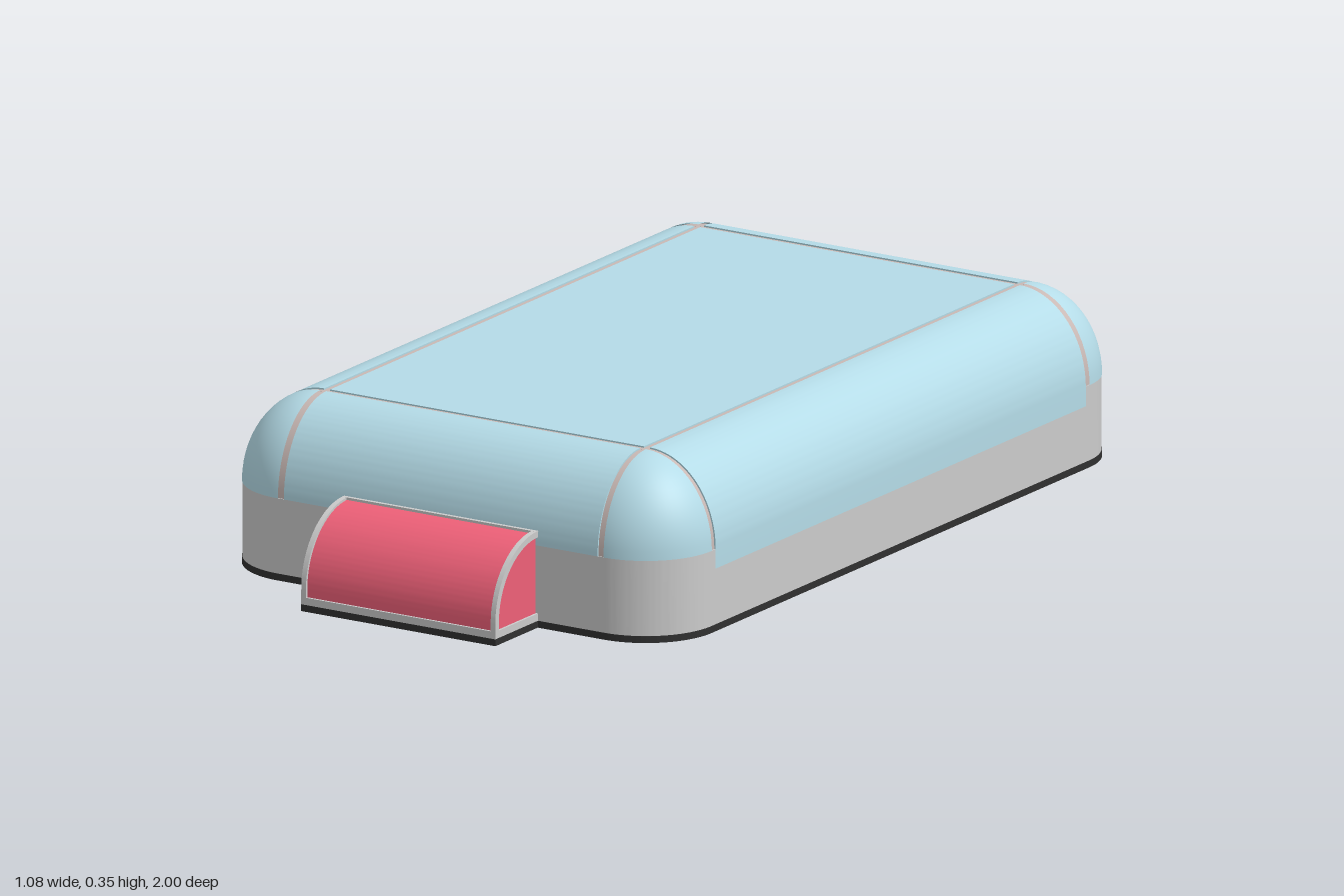
import * as THREE from 'three';
import { toCreasedNormals } from 'three/addons/utils/BufferGeometryUtils.js';

const W = 0.5375, L = 0.845, TOP = 0.355;    // half width, half length, height
const RH = 0.155, SEAM = 0.17, RV = TOP - SEAM; // rounding across and up
const CX = W - RH, CZ = L - RH;              // corner centres
const GAP = 0.014, Q = Math.PI / 2;

const mat = (color, side = THREE.FrontSide) => new THREE.MeshStandardMaterial({ color, side });
const grey = mat(0xcccccc), seamGrey = mat(0xc8b8b4), dark = mat(0x303030), line = mat(0x505050);
const blue = mat(0xb4dbe7, THREE.DoubleSide), red = mat(0xee6078), cyan = mat(0x10cae8);

function add(parent, name, geometry, material, x = 0, y = 0, z = 0, ry = 0) {
  const mesh = new THREE.Mesh(geometry, material);
  mesh.name = name;
  mesh.position.set(x, y, z);
  mesh.rotation.y = ry;
  parent.add(mesh);
  return mesh;
}

// Extrude centred on z, with smooth arcs and sharp edges
function extrude(shape, depth) {
  const g = new THREE.ExtrudeGeometry(shape, { depth, bevelEnabled: false, curveSegments: 20 });
  return toCreasedNormals(g.translate(0, 0, -depth / 2), 0.6);
}

// Upright slab with a rounded rectangle outline, base at y = 0
function slab(w, l, r, h) {
  const s = new THREE.Shape();
  s.absarc(w - r, l - r, r, 0, Q);
  s.absarc(r - w, l - r, r, Q, 2 * Q);
  s.absarc(r - w, r - l, r, 2 * Q, 3 * Q);
  s.absarc(w - r, r - l, r, 3 * Q, 4 * Q);
  return extrude(s, h).rotateX(-Q).translate(0, h / 2, 0);
}

// Curved edge panel: thin wall rising from bottom, then rolling over to the top
function edgePanel(bottom, length) {
  const t = 0.008, s = new THREE.Shape();
  s.moveTo(RH, bottom);
  s.lineTo(RH, SEAM);
  s.absellipse(0, SEAM, RH, RV, 0, Q, false);
  s.lineTo(0, TOP - t);
  s.absellipse(0, SEAM, RH - t, RV - t, Q, 0, true);
  s.lineTo(RH - t, bottom);
  return extrude(s, length);
}

// Quarter-round end profile, optionally hollowed to a rim
function quarterRound(r, inner, width) {
  const y0 = 0.03, yc = 0.045, s = new THREE.Shape();
  s.moveTo(inner, y0);
  s.lineTo(r, y0);
  s.lineTo(r, yc);
  s.absarc(0, yc, r, 0, Q, false);
  if (inner) {
    s.lineTo(0, yc + inner);
    s.absarc(0, yc, inner, Q, 0, true);
  } else s.lineTo(0, y0);
  return extrude(s, width);
}

function createLamp(name, color, turn) {
  const g = new THREE.Group();
  g.name = name;
  g.rotation.y = turn;
  add(g, 'lampLens', quarterRound(0.15, 0, 0.436), color, 0, 0, L, -Q);
  add(g, 'lampSideLens', quarterRound(0.143, 0, 0.446), color, 0, 0, L, -Q);
  for (const s of [-1, 1])
    add(g, 'lampRim', quarterRound(0.155, 0.142, 0.011), grey, s * 0.2225, 0, L, -Q);
  add(g, 'lampTopRim', new THREE.BoxGeometry(0.456, 0.006, 0.008), grey, 0, 0.197, L + 0.002);
  add(g, 'lampSill', new THREE.BoxGeometry(0.456, 0.015, 0.16), grey, 0, 0.0225, 0.92);
  add(g, 'basePlateTab', new THREE.BoxGeometry(0.456, 0.014, 0.16), dark, 0, 0.008, 0.92);
  return g;
}

export function createModel() {
  const model = new THREE.Group();
  model.name = 'roundedCase';

  // Base plate with a fine centre line and dot underneath
  add(model, 'basePlate', slab(W, L, RH, 0.014), dark, 0, 0.001, 0);
  add(model, 'undersideLine', new THREE.BoxGeometry(2 * W - 0.01, 0.001, 0.007), line, 0, 0.0006, 0);
  add(model, 'undersideDot', new THREE.CylinderGeometry(0.016, 0.016, 0.001, 20), line, 0, 0.0005, 0);

  // Lower wall
  add(model, 'lowerWall', slab(W - 0.001, L - 0.001, RH - 0.001, SEAM - 0.015), grey, 0, 0.015, 0);

  // Core below the panels: a half sphere pulled apart into a rounded box
  const n = 64, core = new THREE.SphereGeometry(1, n, 16, Math.PI / n, Math.PI * 2, 0.002, Q - 0.002);
  core.scale(RH - 0.003, RV - 0.003, RH - 0.003);
  const p = core.attributes.position;
  for (let i = 0; i < p.count; i++) {
    p.setX(i, p.getX(i) + Math.sign(p.getX(i)) * CX);
    p.setZ(i, p.getZ(i) + Math.sign(p.getZ(i)) * CZ);
  }
  core.computeVertexNormals();
  add(model, 'seamCore', core, seamGrey, 0, SEAM, 0);
  add(model, 'seamCoreTop', new THREE.BoxGeometry(2 * CX, 0.02, 2 * CZ), seamGrey, 0, TOP - 0.013, 0);

  // Top and edge panels
  const tx = 2 * (CX - GAP), tz = 2 * (CZ - GAP);
  add(model, 'topPanel', new THREE.BoxGeometry(tx, 0.01, tz), blue, 0, TOP - 0.005, 0);
  for (const s of [-1, 1]) {
    add(model, 'sidePanel', edgePanel(0.13, tz), blue, s * CX, 0, 0, s > 0 ? 0 : Math.PI);
    add(model, 'endPanel', edgePanel(SEAM, tx), blue, 0, 0, s * CZ, -s * Q);
  }

  // Domed corner panels
  const profile = [];
  for (let i = 0; i <= 16; i++) {
    const a = (i / 16) * Q;
    profile.push(new THREE.Vector2(RH * Math.cos(a), RV * Math.sin(a)));
  }
  const corner = new THREE.LatheGeometry(profile, 16, 0, Q);
  [[1, 1], [1, -1], [-1, -1], [-1, 1]].forEach(([sx, sz], k) =>
    add(model, 'cornerPanel', corner, blue, sx * CX, SEAM, sz * CZ, k * Q));

  // Quarter-round lamps at both ends
  model.add(createLamp('frontLamp', red, 0), createLamp('backLamp', cyan, Math.PI));
  return model;
}
